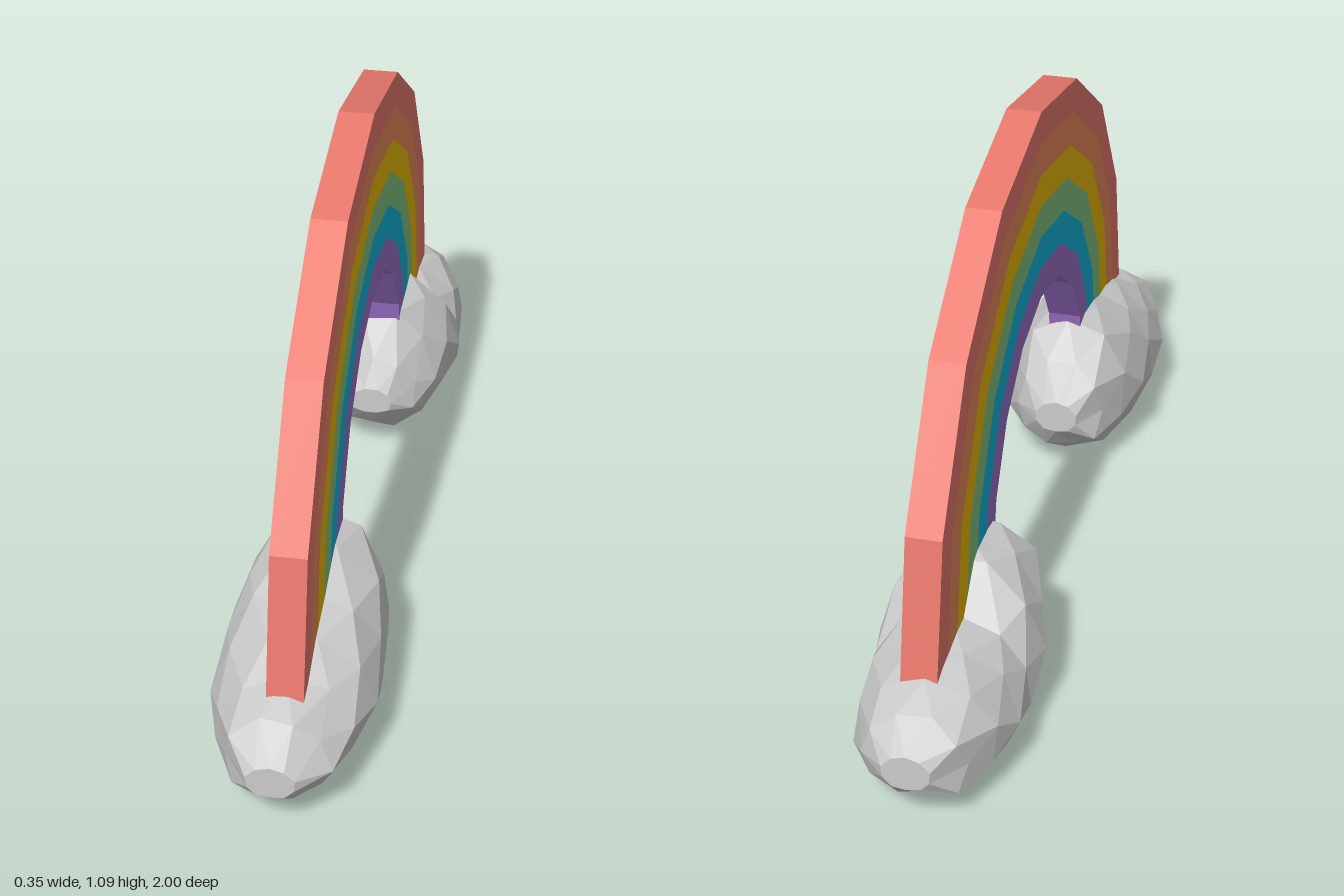
import * as THREE from 'three';

const SIDES = 10;

// Flat-shaded band of the arch: half ring of 8 straight segments
function archBand(outer, inner) {
  const shape = new THREE.Shape();
  const point = (r, i) => [r * Math.cos(i * Math.PI / 8), r * Math.sin(i * Math.PI / 8)];
  shape.moveTo(...point(outer, 0));
  for (let i = 1; i <= 8; i++) shape.lineTo(...point(outer, i));
  for (let i = 8; i >= 0; i--) shape.lineTo(...point(inner, i));
  shape.closePath();
  const geometry = new THREE.ExtrudeGeometry(shape, { depth: 0.075, bevelEnabled: false });
  geometry.rotateY(-Math.PI / 2);
  geometry.translate(0.045, 0.22, 0.01);
  return geometry;
}

// Faceted cloud lofted along z; rows are [z, bottom, top, half width], neighbouring rings staggered
function cloudGeometry(rows, centreX) {
  const positions = [], index = [];
  rows.forEach(([z, bottom, top, width], i) => {
    const odd = i % 2;
    const middle = bottom + (top - bottom) * 0.45;
    for (let j = 0; j < SIDES; j++) {
      const a = (j + odd / 2) / SIDES * Math.PI * 2 + Math.PI / 2;
      const s = Math.sin(a) * (odd ? 1.05 : 1);
      const bump = 1 + 0.04 * Math.sin(i * 2.3 + j * 4.1);
      positions.push(
        centreX + Math.cos(a) * width * bump,
        middle + Math.max(-1, Math.min(1, s < 0 ? s * 1.1 : s)) * (s > 0 ? top - middle : middle - bottom),
        z + (i > 0 && i < rows.length - 1 ? 0.015 * Math.sin(i * 1.7 + j * 2.9) : 0));
    }
  });
  const at = (i, j) => i * SIDES + j % SIDES;
  for (let i = 0; i < rows.length - 1; i++) {
    for (let j = 0; j < SIDES; j++) {
      const a = at(i, j), a1 = at(i, j + 1), b = at(i + 1, j), b1 = at(i + 1, j + 1);
      if (i % 2) index.push(a, b1, b, a, a1, b1);
      else index.push(a, a1, b, a1, b1, b);
    }
  }
  // End caps
  const last = rows.length - 1;
  for (let j = 1; j < SIDES - 1; j++) {
    index.push(at(0, 0), at(0, j + 1), at(0, j));
    index.push(at(last, 0), at(last, j), at(last, j + 1));
  }
  const geometry = new THREE.BufferGeometry();
  geometry.setAttribute('position', new THREE.Float32BufferAttribute(positions, 3));
  geometry.setIndex(index);
  const flat = geometry.toNonIndexed();
  flat.computeVertexNormals();
  return flat;
}

export function createModel() {
  const model = new THREE.Group();
  model.name = 'rainbowWithClouds';

  // Rainbow bands from the outside in
  const rainbow = new THREE.Group();
  rainbow.name = 'rainbow';
  const bands = [
    ['red', 0xe8786c], ['orange', 0xe88a58], ['yellow', 0xeab800],
    ['green', 0x80c080], ['blue', 0x12b4dc], ['purple', 0x9a70c8],
  ];
  const step = (0.87 - 0.43) / bands.length;
  bands.forEach(([name, color], i) => {
    const outer = 0.87 - i * step;
    const band = new THREE.Mesh(archBand(outer, outer - step),
      new THREE.MeshStandardMaterial({ color, flatShading: true }));
    band.name = name + 'Band';
    rainbow.add(band);
  });
  model.add(rainbow);

  // Clouds at both feet
  const grey = new THREE.MeshStandardMaterial({ color: 0xcccccc, flatShading: true });
  const frontCloud = new THREE.Mesh(cloudGeometry([
    [0.29, 0.13, 0.21, 0.05],
    [0.335, 0.07, 0.29, 0.105],
    [0.42, 0.015, 0.37, 0.145],
    [0.52, 0.01, 0.355, 0.165],
    [0.63, 0.02, 0.33, 0.172],
    [0.74, 0.02, 0.295, 0.165],
    [0.84, 0.03, 0.27, 0.145],
    [0.93, 0.06, 0.24, 0.11],
    [1.0, 0.11, 0.185, 0.05],
  ], 0), grey);
  frontCloud.name = 'frontCloud';
  const backCloud = new THREE.Mesh(cloudGeometry([
    [-1.0, 0.11, 0.19, 0.05],
    [-0.94, 0.055, 0.235, 0.11],
    [-0.85, 0.02, 0.265, 0.15],
    [-0.75, 0.0, 0.27, 0.165],
    [-0.66, 0.0, 0.28, 0.17],
    [-0.58, 0.0, 0.355, 0.17],
    [-0.5, 0.0, 0.37, 0.16],
    [-0.41, 0.03, 0.35, 0.135],
    [-0.335, 0.08, 0.27, 0.1],
    [-0.285, 0.14, 0.205, 0.05],
  ], -0.005), grey);
  backCloud.name = 'backCloud';
  model.add(frontCloud, backCloud);

  return model;
}
